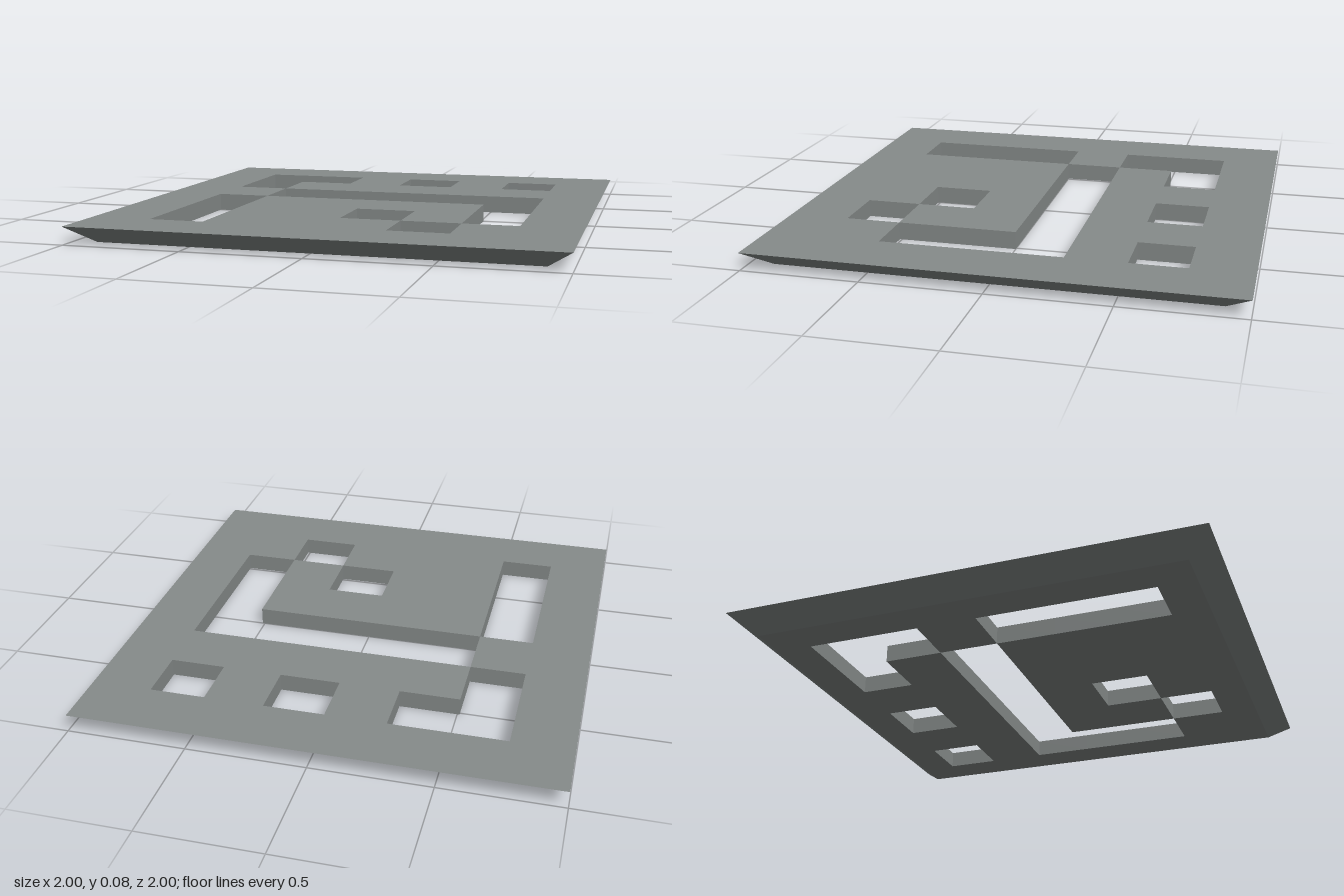
import * as THREE from 'three';

// Floor plan of the plate: # is solid, . is cut through (rows run back to front)
const PLAN = [
  '########',
  '#..#.#.#',
  '#.######',
  '##.....#',
  '#.####.#',
  '#.##.#.#',
  '#.###.##',
  '########',
];
const LINES = [-1, -0.745, -0.51, -0.257, 0, 0.257, 0.51, 0.745, 1];
const HEIGHT = 0.075;
const BASE = 0.9; // half width of the underside, giving sloped outer edges

const solid = (col, row) => PLAN[row]?.[col] === '#';
const top = ([i, j]) => [LINES[i], HEIGHT, LINES[j]];
const inset = (v) => THREE.MathUtils.clamp(v, -BASE, BASE);
const bottom = ([i, j]) => [inset(LINES[i]), 0, inset(LINES[j])];

function plateGeometry() {
  const positions = [];
  const quad = (a, b, c, d) => positions.push(...a, ...b, ...c, ...a, ...c, ...d);

  for (let j = 0; j < 8; j++) {
    for (let i = 0; i < 8; i++) {
      if (!solid(i, j)) continue;
      const corners = [[i, j], [i, j + 1], [i + 1, j + 1], [i + 1, j]];
      const neighbours = [[i - 1, j], [i, j + 1], [i + 1, j], [i, j - 1]];

      // Top and underside
      quad(...corners.map(top));
      quad(...corners.map(bottom).reverse());

      // Walls of the cut-outs and the sloped rim
      neighbours.forEach((n, k) => {
        if (solid(...n)) return;
        const a = corners[k], b = corners[(k + 1) % 4];
        quad(top(a), bottom(a), bottom(b), top(b));
      });
    }
  }

  const geometry = new THREE.BufferGeometry();
  geometry.setAttribute('position', new THREE.Float32BufferAttribute(positions, 3));
  geometry.computeVertexNormals();
  return geometry;
}

export function createModel() {
  const group = new THREE.Group();
  group.name = 'stencilPlate';
  const material = new THREE.MeshStandardMaterial({ color: 0x878c8b, flatShading: true });
  const plate = new THREE.Mesh(plateGeometry(), material);
  plate.name = 'plate';
  group.add(plate);
  return group;
}
